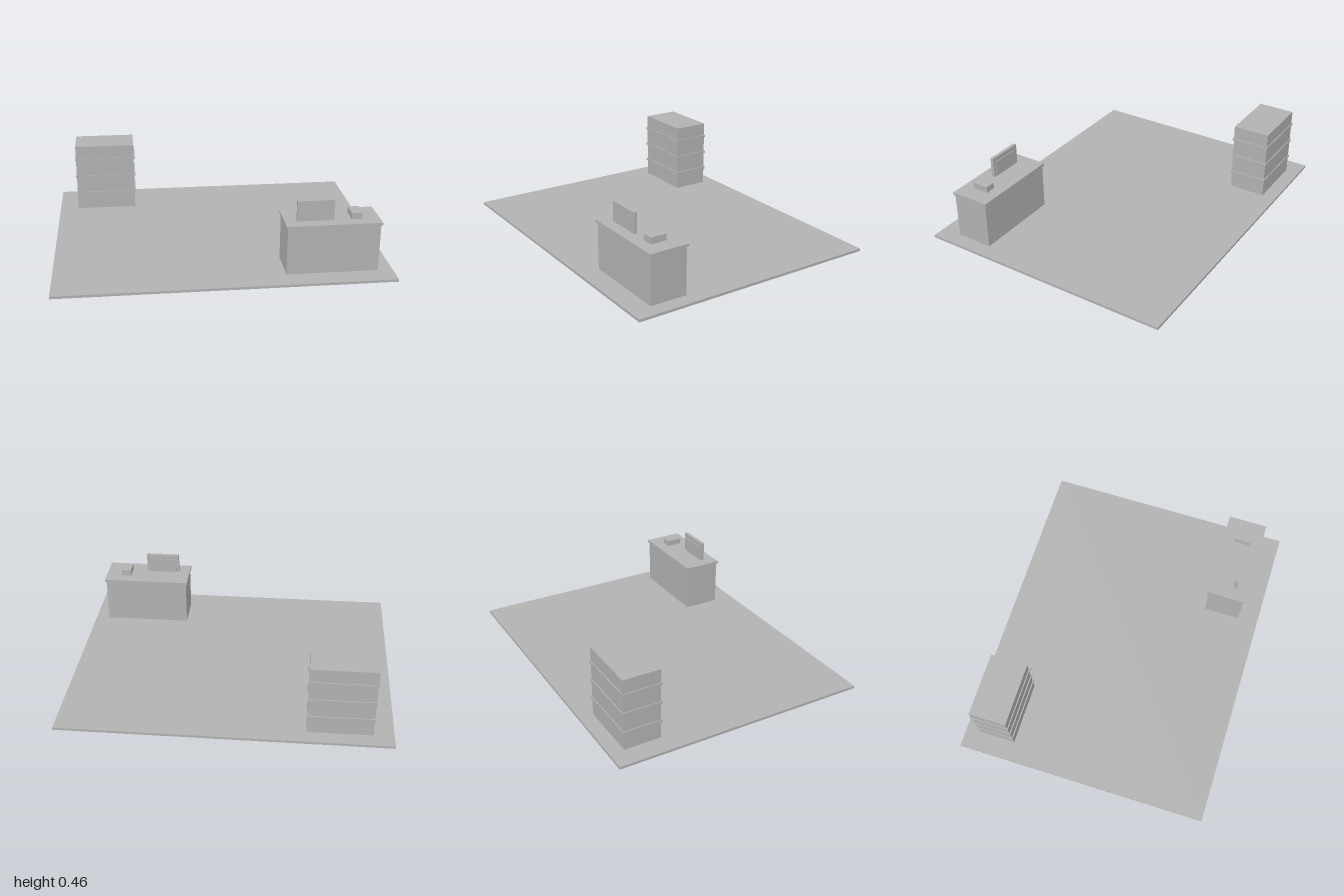
import * as THREE from 'three';

const grey = new THREE.MeshStandardMaterial({ color: 0xb2b2b2 });
grey.name = 'grey';

// Box given by its minimum and maximum on each axis
function box(name, [x0, x1], [y0, y1], [z0, z1]) {
  const mesh = new THREE.Mesh(new THREE.BoxGeometry(x1 - x0, y1 - y0, z1 - z0), grey);
  mesh.position.set((x0 + x1) / 2, (y0 + y1) / 2, (z0 + z1) / 2);
  mesh.name = name;
  return mesh;
}

function group(name, ...parts) {
  const g = new THREE.Group();
  g.name = name;
  g.add(...parts);
  return g;
}

export function createModel() {
  const floorTop = 0.016;
  const deskTop = 0.323;

  const floor = box('floor', [-1, 1], [0, floorTop], [-0.797, 0.797]);

  // Tall cabinet with three protruding shelf bands
  const cabinet = group('cabinet',
    box('cabinetBody', [-0.878, -0.489], [floorTop, 0.461], [-0.708, -0.477]));
  for (const y of [0.129, 0.249, 0.369]) {
    cabinet.add(box('shelfBand', [-0.883, -0.481], [y - 0.007, y + 0.007], [-0.714, -0.47]));
  }

  // Counter with an overhanging top
  const desk = group('desk',
    box('deskBody', [0.363, 0.911], [floorTop, 0.306], [0.437, 0.668]),
    box('deskTop', [0.355, 0.919], [0.306, deskTop], [0.428, 0.676]));

  // Monitor with its raised screen facing the back
  const monitor = group('monitor',
    box('monitorPanel', [0.428, 0.648], [deskTop, 0.448], [0.583, 0.604]),
    box('screen', [0.444, 0.632], [deskTop, 0.42], [0.578, 0.583]));

  const deskBox = box('deskBox', [0.751, 0.815], [deskTop, 0.361], [0.502, 0.604]);

  return group('reception', floor, cabinet, desk, monitor, deskBox);
}
